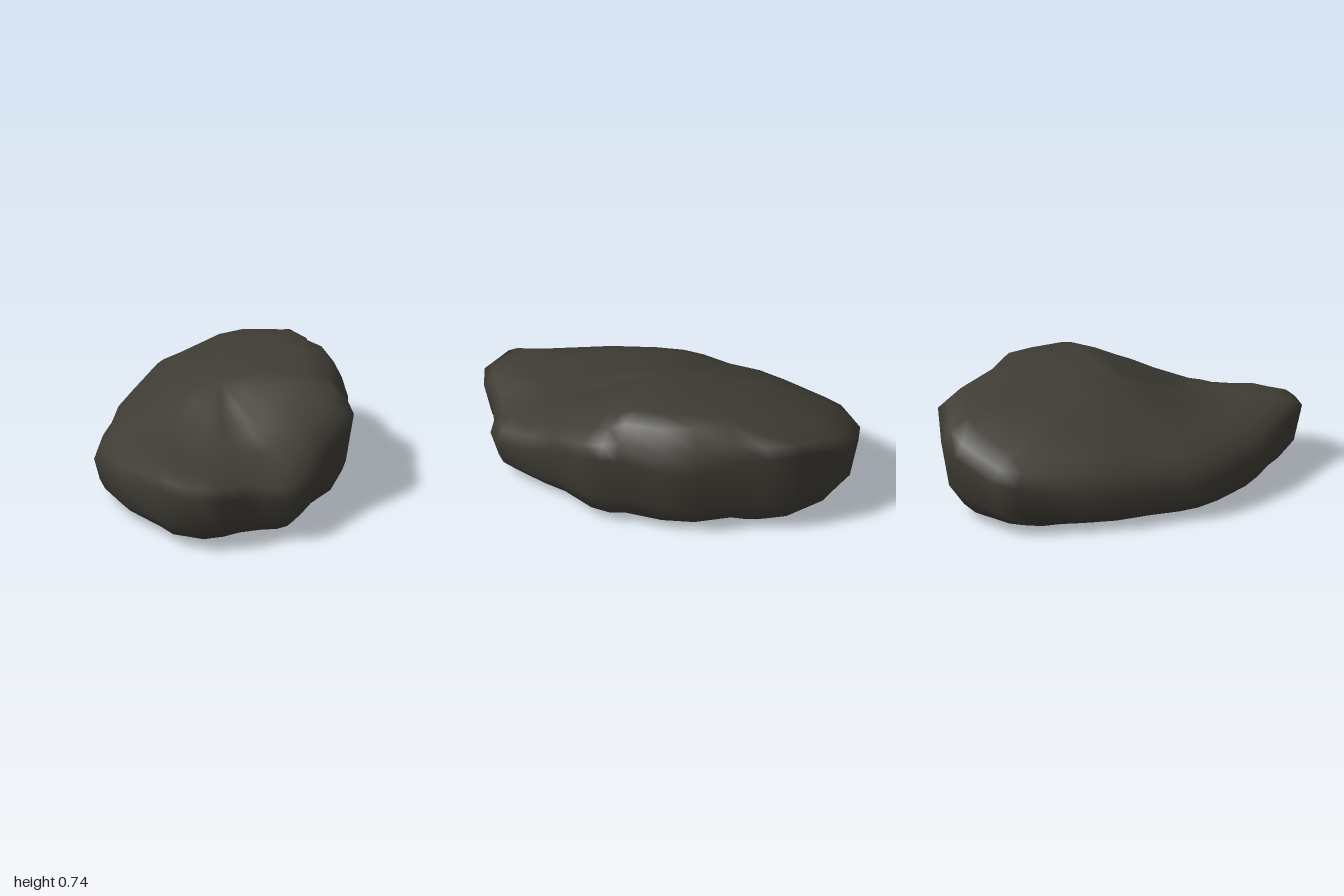
import * as THREE from 'three';
import { mergeVertices } from 'three/addons/utils/BufferGeometryUtils.js';

// Outline seen from above: x, z, then heights at the rim, the shoulder and halfway in
const OUTLINE = [
  [-1, -0.52, 0.34, 0.48, 0.61], [-0.88, -0.78, 0.44, 0.57, 0.64], [-0.75, -0.89, 0.48, 0.61, 0.66],
  [-0.45, -0.98, 0.58, 0.66, 0.69], [-0.25, -0.94, 0.56, 0.69, 0.71], [-0.1, -0.85, 0.53, 0.72, 0.72],
  [0.15, -0.81, 0.49, 0.735, 0.73], [0.35, -0.70, 0.48, 0.715, 0.735], [0.55, -0.52, 0.50, 0.70, 0.73],
  [0.65, -0.48, 0.51, 0.67, 0.72], [0.74, -0.37, 0.49, 0.62, 0.70], [0.82, -0.1, 0.38, 0.54, 0.635],
  [0.9, 0.05, 0.31, 0.47, 0.59], [1, 0.27, 0.27, 0.39, 0.53], [0.99, 0.36, 0.27, 0.39, 0.50],
  [0.93, 0.45, 0.28, 0.40, 0.475], [0.88, 0.6, 0.31, 0.42, 0.45], [0.87, 0.75, 0.33, 0.435, 0.44],
  [0.81, 0.88, 0.35, 0.44, 0.43], [0.62, 0.97, 0.37, 0.44, 0.43], [0.45, 0.93, 0.34, 0.425, 0.435],
  [0.07, 0.87, 0.27, 0.40, 0.46], [-0.22, 0.75, 0.24, 0.39, 0.485], [-0.38, 0.65, 0.22, 0.39, 0.50],
  [-0.48, 0.54, 0.21, 0.395, 0.51], [-0.6, 0.36, 0.22, 0.40, 0.53], [-0.75, 0.17, 0.23, 0.42, 0.55],
  [-0.85, -0.03, 0.25, 0.44, 0.57], [-1, -0.37, 0.32, 0.47, 0.60],
];

const TOP = 0.668;
const mix = THREE.MathUtils.lerp;

// Rings from the middle of the underside, out over the rim, to the middle of the top:
// scale of the outline, a height rule, and how far the undercut side is tucked in
const RINGS = [
  [0, () => 0.04, 0],
  [0.45, (rim, shoulder, inner, r) => 0.04 - 0.045 * r * r, 0.02],
  [0.76, (rim, shoulder, inner, r) => 0.04 - 0.045 * r * r, 0.05],
  [0.87, (rim) => 0.02 + rim * 0.1, 0.02],
  [0.955, (rim) => rim * 0.42, 0.015],
  [1, (rim) => rim, 0],
  [0.95, (rim, shoulder) => mix(rim, shoulder, 0.55), 0],
  [0.85, (rim, shoulder) => shoulder, 0],
  [0.68, (rim, shoulder, inner) => mix(shoulder, inner, 0.5) + 0.008, 0],
  [0.5, (rim, shoulder, inner) => inner, 0],
  [0.25, (rim, shoulder, inner) => mix(inner, TOP, 0.5) + 0.012, 0],
  [0, () => TOP, 0],
];

function rockGeometry() {
  const n = OUTLINE.length;
  const positions = [];
  const index = [];
  RINGS.forEach(([scale, height, tuck], r) => {
    OUTLINE.forEach(([x, z, rim, shoulder, inner], i) => {
      // The back left wall leans outward above a narrower foot
      const s = scale - tuck * THREE.MathUtils.smoothstep(x - z, 0.5, 1.1);
      positions.push(x * s, height(rim, shoulder, inner, Math.hypot(x, z) * s), z * s);
      if (r === RINGS.length - 1) return;
      const a = r * n + i;
      const b = r * n + ((i + 1) % n);
      if (r < RINGS.length - 2) index.push(a, a + n, b + n);
      else index.push(a, a + n, b);
      if (r > 0 && r < RINGS.length - 2) index.push(a, b + n, b);
    });
  });
  const geometry = new THREE.BufferGeometry();
  geometry.setAttribute('position', new THREE.Float32BufferAttribute(positions, 3));
  geometry.setIndex(index);
  const welded = mergeVertices(geometry, 1e-4);
  welded.computeVertexNormals();
  return welded;
}

export function createModel() {
  const group = new THREE.Group();
  group.name = 'boulder';
  const stone = new THREE.MeshStandardMaterial({ color: 0x3e3c34 });
  stone.name = 'dark stone';
  const rock = new THREE.Mesh(rockGeometry(), stone);
  rock.name = 'rock';
  // Rest the lowest point on the ground
  rock.geometry.computeBoundingBox();
  rock.position.y = -rock.geometry.boundingBox.min.y;
  group.add(rock);
  return group;
}
